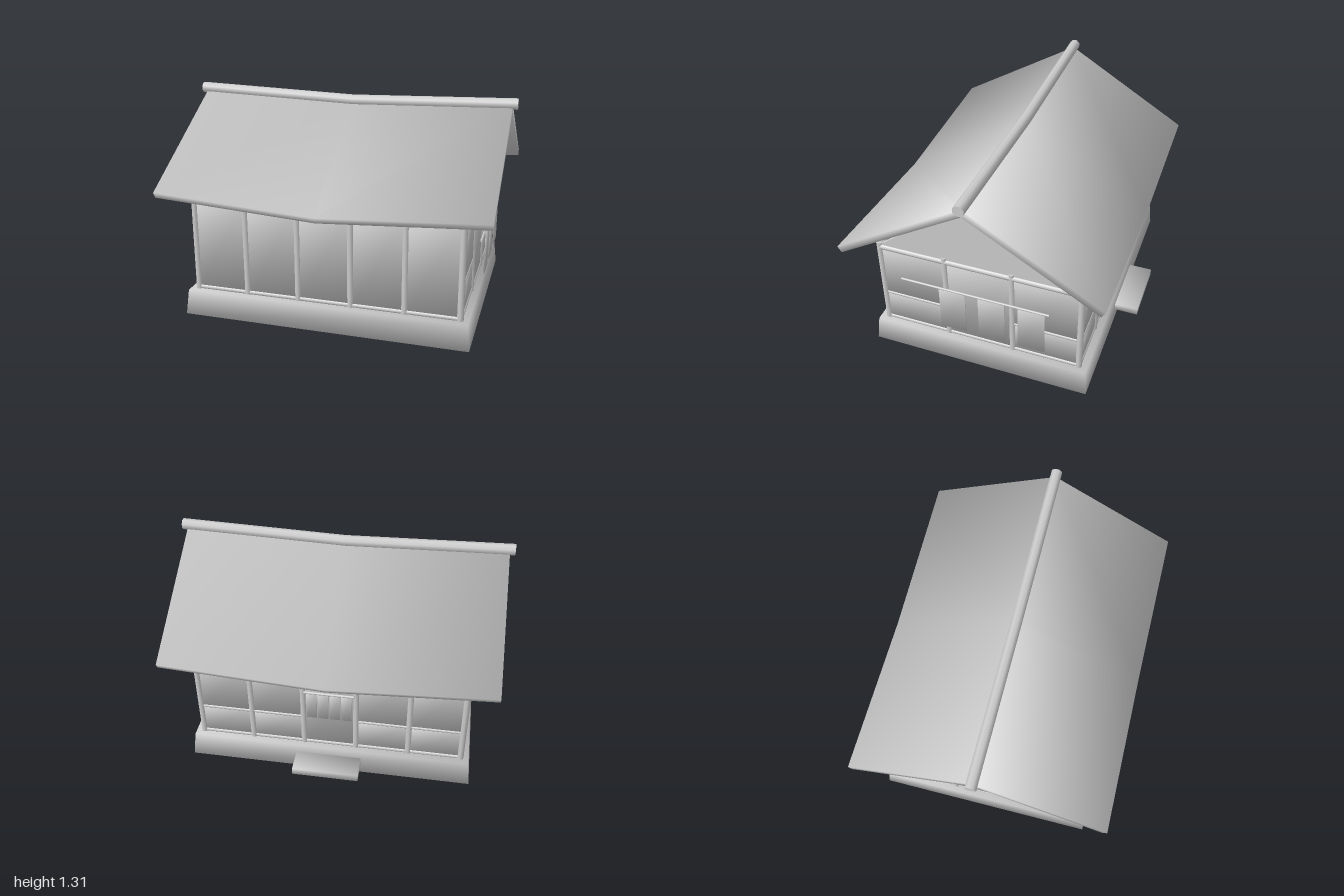
import * as THREE from 'three';

const CZ = 0.02;                 // depth centre of the house
const HX = 0.8, HZ = 0.613;      // half spacing of the corner posts
const FLOOR = 0.15, RAIL_TOP = 0.72, RAIL_MID = 0.366, SILL = 0.165;

const grey = new THREE.MeshStandardMaterial({ color: 0xcccccc });
grey.name = 'light grey';

function add(parent, name, geometry, x = 0, y = 0, z = 0) {
  const mesh = new THREE.Mesh(geometry, grey);
  mesh.name = name;
  mesh.position.set(x, y, z);
  parent.add(mesh);
  return mesh;
}

// Box whose corner normals are shared, so it shades softly
function softBox(w, h, d, xSegments = 1) {
  const g = new THREE.BoxGeometry(w, h, d, xSegments, 1, 1);
  const p = g.attributes.position, n = g.attributes.normal;
  const v = new THREE.Vector3();
  for (let i = 0; i < p.count; i++) {
    v.fromBufferAttribute(p, i);
    v.set(Math.sign(v.x), Math.sign(v.y), Math.sign(v.z)).normalize();
    n.setXYZ(i, v.x, v.y, v.z);
  }
  return g;
}

// Move every vertex by a rule
function deform(g, rule) {
  const p = g.attributes.position, v = new THREE.Vector3();
  for (let i = 0; i < p.count; i++) {
    rule(v.fromBufferAttribute(p, i));
    p.setXYZ(i, v.x, v.y, v.z);
  }
  return g;
}

const rod = (r, length) => new THREE.CylinderGeometry(r, r, length, 8).rotateZ(Math.PI / 2);

// One wall along local x facing local +z; midRail(i) tells which bays are split
function wall(name, half, bays, midRail) {
  const g = new THREE.Group();
  g.name = name;
  const bay = (2 * half) / bays;
  add(g, 'topRail', rod(0.02, 2 * half), 0, RAIL_TOP, 0);
  add(g, 'sillRail', rod(0.015, 2 * half), 0, SILL, 0);
  for (let i = 0; i < bays; i++) {
    const x = -half + bay * (i + 0.5);
    const split = midRail(i);
    const levels = split ? [SILL, RAIL_MID, RAIL_TOP] : [SILL, RAIL_TOP];
    for (let k = 0; k + 1 < levels.length; k++) {
      const h = levels[k + 1] - levels[k];
      add(g, 'wallPanel', softBox(bay - 0.03, h, 0.016), x, levels[k] + h / 2, 0);
    }
    if (split) add(g, 'middleRail', rod(0.011, bay), x, RAIL_MID, 0.003);
    // the last post of each wall is the first post of the next one
    add(g, 'post', new THREE.CylinderGeometry(0.02, 0.02, 0.6, 8), x - bay / 2, FLOOR + 0.3, 0);
  }
  return g;
}

// Sagging roof slab on the +z side
function roofSlab() {
  const angle = 0.537, length = 0.911;
  const g = softBox(1.94, 0.043, length, 2);
  g.rotateX(angle);
  g.translate(0, 1.0145, 0.38);
  return deform(g, v => {
    const sag = THREE.MathUtils.lerp(0.03, 0.06, THREE.MathUtils.clamp(v.z / 0.78, 0, 1));
    v.y -= sag * (1 - Math.abs(v.x) / 0.97);
  });
}

export function createModel() {
  const model = new THREE.Group();
  model.name = 'house';
  const house = new THREE.Group();
  house.name = 'building';
  house.position.z = CZ;
  model.add(house);

  // Tapered foundation
  const base = deform(softBox(1.732, 0.153, 1.36), v => {
    if (v.y > 0) { v.x *= 0.981; v.z *= 0.978; }
  });
  add(house, 'foundation', base, 0, 0.0765, 0);

  // Four timber-framed walls
  const front = wall('frontWall', HX, 5, () => false);
  front.position.z = HZ;
  const back = wall('backWall', HX, 5, i => i !== 2);
  back.position.z = -HZ;
  back.rotation.y = Math.PI;
  const left = wall('leftWall', HZ, 3, i => i !== 1);
  left.position.x = HX;
  left.rotation.y = Math.PI / 2;
  const right = wall('rightWall', HZ, 3, () => true);
  right.position.x = -HX;
  right.rotation.y = -Math.PI / 2;
  house.add(front, back, left, right);

  // Gable triangles
  const tri = new THREE.Shape([
    new THREE.Vector2(-0.605, 0.738), new THREE.Vector2(0.605, 0.738), new THREE.Vector2(0, 1.2),
  ]);
  for (const s of [-1, 1]) {
    const g = new THREE.ExtrudeGeometry(tri, { depth: 0.02, bevelEnabled: false });
    g.translate(0, 0, -0.01).rotateY(Math.PI / 2);
    add(house, 'gable', g, s * HX, 0, 0);
  }

  // Roof slabs and ridge pole
  add(house, 'frontRoof', roofSlab());
  add(house, 'backRoof', roofSlab()).rotation.y = Math.PI;
  const ridge = new THREE.CylinderGeometry(0.034, 0.034, 2, 8, 2);
  ridge.rotateY(Math.PI / 8).rotateZ(Math.PI / 2);
  add(house, 'ridgePole', deform(ridge, v => { v.y += 0.03 * Math.abs(v.x); }), 0, 1.244, 0);

  // Door curtain over the back entrance
  add(house, 'curtainRod', rod(0.008, 0.3), 0, 0.573, -0.635);
  for (let i = 0; i < 4; i++) {
    add(house, 'curtainStrip', softBox(0.062, 0.19, 0.006), (i - 1.5) * 0.07, 0.475, -0.635);
  }

  // Entrance step
  add(model, 'step', softBox(0.4, 0.045, 0.145), 0, 0.0925, -0.73);

  // Drying pole with hanging cloths beside the left wall
  add(house, 'dryingPole', rod(0.007, 0.9).rotateY(Math.PI / 2), 0.877, 0.578, 0);
  for (const z of [0.135, -0.105, -0.345]) {
    add(house, 'hangingCloth', softBox(0.006, 0.292, 0.16), 0.877, 0.426, z);
  }
  return model;
}
